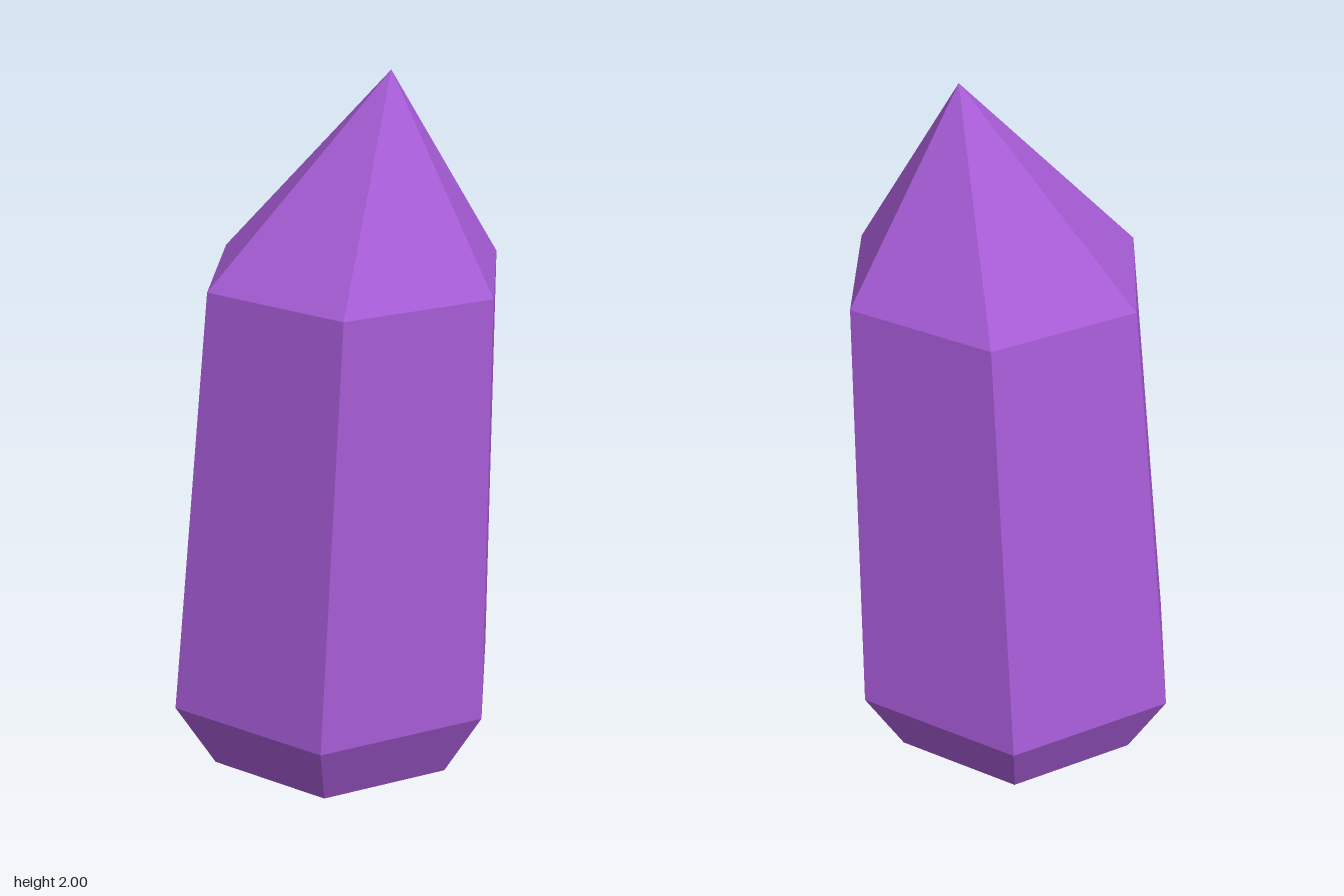
import * as THREE from 'three';

const SIDES = 6;

// Horizontal hexagon with corners on the x axis
function ring(y, radius, cx) {
  return Array.from({ length: SIDES }, (_, i) => {
    const a = (i / SIDES) * Math.PI * 2;
    return [cx + Math.cos(a) * radius, y, Math.sin(a) * radius];
  });
}

// Faceted mesh from a list of triangles
function facetMesh(name, triangles, material) {
  const geometry = new THREE.BufferGeometry();
  geometry.setAttribute('position', new THREE.Float32BufferAttribute(triangles.flat(2), 3));
  geometry.computeVertexNormals();
  const mesh = new THREE.Mesh(geometry, material);
  mesh.name = name;
  return mesh;
}

// Side wall between two rings
function band(lower, upper) {
  return lower.flatMap((p, i) => {
    const j = (i + 1) % SIDES;
    return [[lower[j], p, upper[i]], [lower[j], upper[i], upper[j]]];
  });
}

// Triangles from a ring to one point above it
function fan(edge, tip) {
  return edge.map((p, i) => [edge[(i + 1) % SIDES], p, tip]);
}

export function createModel() {
  const group = new THREE.Group();
  group.name = 'crystal';
  const purple = new THREE.MeshStandardMaterial({ color: 0xa65cd6 });
  purple.name = 'amethyst purple';

  const foot = ring(0, 0.38, -0.005);
  const waist = ring(0.2, 0.5, -0.005);
  const shoulder = ring(1.44, 0.439, 0.064);
  const apex = [0.143, 2, -0.05];

  // Tapered foot with its flat underside
  const underside = fan(foot, [-0.005, 0, 0]).map(([a, b, c]) => [b, a, c]);
  group.add(facetMesh('foot', [...band(foot, waist), ...underside], purple));

  // Leaning hexagonal shaft
  group.add(facetMesh('shaft', band(waist, shoulder), purple));

  // Off-centre pointed tip
  group.add(facetMesh('tip', fan(shoulder, apex), purple));

  return group;
}
